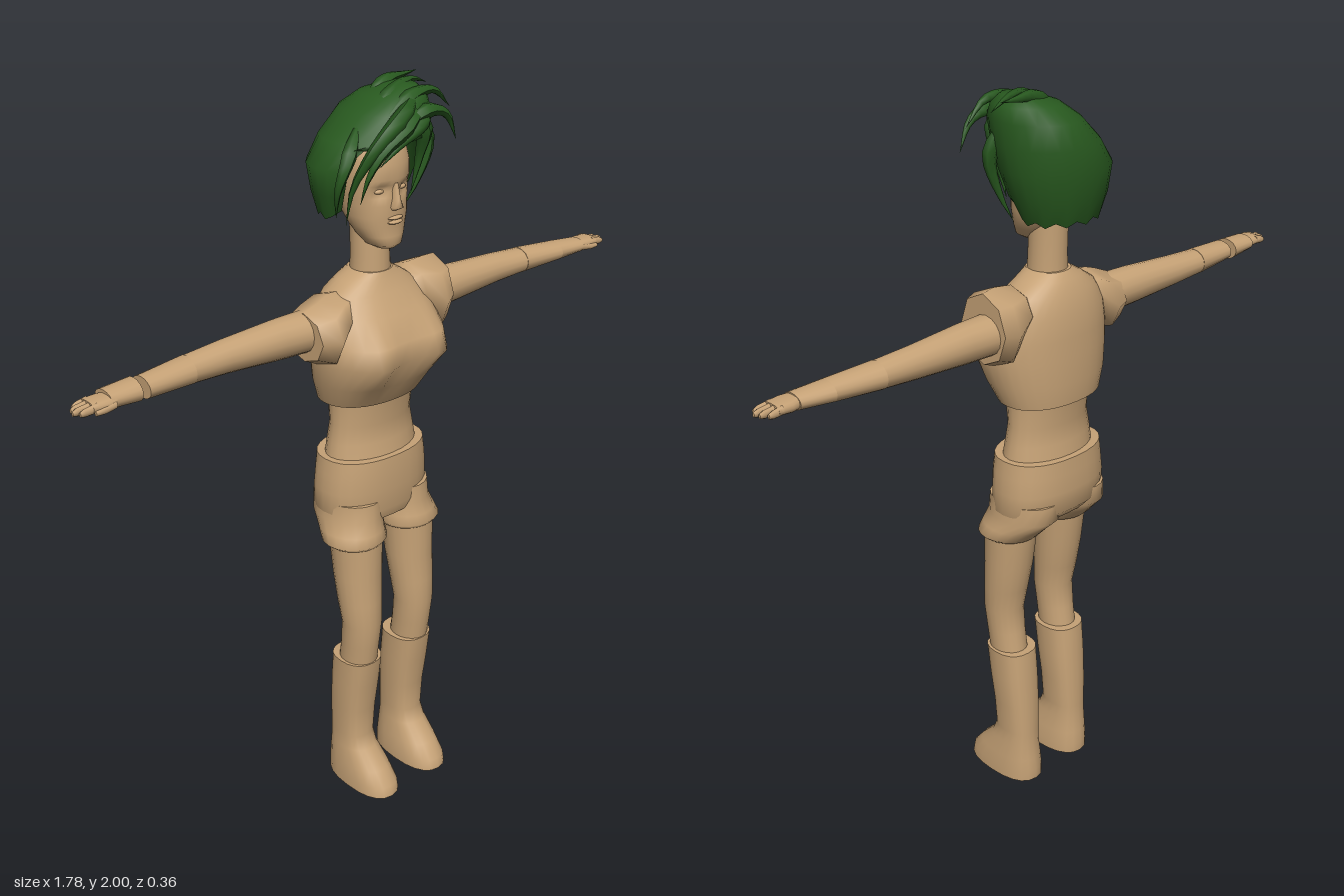
import * as THREE from 'three';

const skin = new THREE.MeshStandardMaterial({ color: 0xc6a276 });
skin.name = 'tan';
const green = new THREE.MeshStandardMaterial({ color: 0x28591f, side: THREE.DoubleSide });
green.name = 'hair green';

// Loft through rings [pos, uMin, uMax, vMin, vMax], pos ascending.
// Axis y: u = x, v = z. Axis x: u = z, v = y.
function loft(rings, { sides = 20, axis = 'y', power = 2, caps = true, shape } = {}) {
  const pos = [], idx = [];
  const put = (u, p, v) => { pos.push(...(axis === 'y' ? [u, p, v] : [p, v, u])); return pos.length / 3 - 1; };
  const round = c => Math.sign(c) * Math.abs(c) ** (2 / power);
  const ring = ([p, u0, u1, v0, v1]) => {
    const start = pos.length / 3;
    for (let j = 0; j < sides; j++) {
      const t = j / sides * Math.PI * 2;
      let q = [(u0 + u1) / 2 + (u1 - u0) / 2 * round(Math.cos(t)), p,
        (v0 + v1) / 2 + (v1 - v0) / 2 * round(Math.sin(t))];
      if (shape) q = shape(q, t, j);
      put(...q);
    }
    return start;
  };
  const starts = rings.map(ring);
  for (let i = 0; i + 1 < starts.length; i++) {
    for (let j = 0; j < sides; j++) {
      const k = (j + 1) % sides, a = starts[i], c = starts[i + 1];
      idx.push(a + j, c + j, a + k, a + k, c + j, c + k);
    }
  }
  if (caps) {
    [rings[0], rings.at(-1)].forEach((r, end) => {
      const s = ring(r), m = put((r[1] + r[2]) / 2, r[0], (r[3] + r[4]) / 2);
      for (let j = 0; j < sides; j++) {
        const k = (j + 1) % sides;
        idx.push(m, s + (end ? k : j), s + (end ? j : k));
      }
    });
  }
  const g = new THREE.BufferGeometry();
  g.setAttribute('position', new THREE.Float32BufferAttribute(pos, 3));
  g.setIndex(idx);
  g.computeVertexNormals();
  return g;
}

// Mirror ring lists to the model's right side
const mirrorY = rings => rings.map(([p, a, b, c, d]) => [p, -b, -a, c, d]);
const mirrorX = rings => rings.map(([p, ...r]) => [-p, ...r]).reverse();

// Tapered strand of hair along a curve
function strand(points, width) {
  const n = 10, sides = 6;
  const curve = new THREE.CatmullRomCurve3(points.map(p => new THREE.Vector3(...p)));
  const g = new THREE.TubeGeometry(curve, n, width, sides);
  const P = g.attributes.position, v = new THREE.Vector3();
  for (let i = 0; i <= n; i++) {
    const c = curve.getPointAt(i / n), s = Math.min(0.4 + i * 0.2, 1.25 * (1 - i / n), 1);
    for (let j = 0; j <= sides; j++) {
      const k = i * (sides + 1) + j;
      v.fromBufferAttribute(P, k).sub(c).multiplyScalar(s).add(c);
      P.setXYZ(k, v.x, v.y, v.z);
    }
  }
  g.computeVertexNormals();
  return g;
}

const bump = (x, y, cx, cy, sx, sy) => Math.exp(-(((x - cx) / sx) ** 2) - ((y - cy) / sy) ** 2);

export function createModel() {
  const model = new THREE.Group();
  model.name = 'figure';
  const add = (name, geometry, material = skin) => {
    const m = new THREE.Mesh(geometry, material);
    m.name = name;
    model.add(m);
    return m;
  };

  // Trunk
  add('chest', loft([
    [1.2, -0.15, 0.15, -0.13, 0.075], [1.26, -0.172, 0.172, -0.135, 0.11],
    [1.33, -0.187, 0.187, -0.132, 0.138], [1.38, -0.185, 0.185, -0.13, 0.13],
    [1.44, -0.17, 0.17, -0.125, 0.09], [1.49, -0.135, 0.135, -0.11, 0.058],
    [1.52, -0.09, 0.09, -0.095, 0.042], [1.54, -0.055, 0.055, -0.08, 0.034],
  ], {
    sides: 32, power: 2.2,
    shape: ([x, y, z]) => [x, y, z > 0 ? z + 0.035 * bump(Math.abs(x), y, 0.105, 1.34, 0.05, 0.06) : z],
  }));
  add('waist', loft([
    [1.03, -0.142, 0.142, -0.112, 0.07], [1.08, -0.135, 0.135, -0.104, 0.06],
    [1.13, -0.126, 0.126, -0.098, 0.054], [1.21, -0.128, 0.128, -0.11, 0.068]], { sides: 24 }));
  add('hips', loft([
    [0.86, -0.15, 0.15, -0.1, 0.075], [0.89, -0.168, 0.168, -0.128, 0.085],
    [0.95, -0.168, 0.168, -0.133, 0.088], [1.0, -0.163, 0.163, -0.13, 0.088],
    [1.042, -0.157, 0.157, -0.128, 0.085]], { sides: 28, power: 2.3 }));
  add('neck', loft([[1.5, -0.054, 0.054, -0.075, 0.034], [1.58, -0.05, 0.05, -0.072, 0.03],
    [1.68, -0.05, 0.05, -0.075, 0.025]]));

  // Legs
  const shorts = [[0.798, 0.015, 0.175, -0.055, 0.1], [0.808, 0.006, 0.187, -0.065, 0.108],
    [0.835, 0.006, 0.178, -0.09, 0.1], [0.87, 0.002, 0.168, -0.125, 0.088], [0.92, 0, 0.165, -0.125, 0.085]];
  const thigh = [[0.4, 0.048, 0.145, -0.025, 0.09], [0.48, 0.046, 0.148, -0.012, 0.1],
    [0.55, 0.042, 0.152, -0.005, 0.108], [0.62, 0.036, 0.158, -0.02, 0.105],
    [0.7, 0.028, 0.162, -0.035, 0.1], [0.82, 0.02, 0.167, -0.05, 0.098]];
  const boot = [[0, 0.028, 0.158, -0.07, 0.175], [0.03, 0.028, 0.158, -0.07, 0.168],
    [0.07, 0.034, 0.154, -0.066, 0.135], [0.12, 0.042, 0.148, -0.06, 0.085],
    [0.16, 0.044, 0.145, -0.06, 0.068], [0.25, 0.038, 0.15, -0.056, 0.072],
    [0.34, 0.034, 0.154, -0.05, 0.085], [0.425, 0.033, 0.155, -0.042, 0.096]];
  for (const [side, m] of [['left', r => r], ['right', mirrorY]]) {
    add(side + 'ShortsLeg', loft(m(shorts)));
    add(side + 'Thigh', loft(m(thigh)));
    add(side + 'Boot', loft(m(boot), { power: 2.4 }));
  }

  // Sleeve caps, set a little differently on each shoulder
  const X = { axis: 'x', sides: 16 };
  add('leftSleeve', loft([[0.1, -0.07, 0.045, 1.41, 1.5], [0.125, -0.095, 0.06, 1.39, 1.52],
    [0.18, -0.112, 0.085, 1.318, 1.526], [0.222, -0.1, 0.06, 1.335, 1.522]], { axis: 'x', sides: 8 }));
  add('rightSleeve', loft([[-0.224, -0.092, 0.058, 1.342, 1.47], [-0.18, -0.11, 0.085, 1.322, 1.488],
    [-0.14, -0.1, 0.065, 1.37, 1.502], [-0.1, -0.07, 0.04, 1.41, 1.5]], { axis: 'x', sides: 8 }));

  // Arms
  const arm = [[0.16, -0.085, 0.03, 1.362, 1.47], [0.3, -0.08, 0.018, 1.366, 1.468],
    [0.46, -0.077, 0.008, 1.376, 1.458], [0.565, -0.072, 0.009, 1.382, 1.451]];
  const foreArm = [[0.565, -0.073, 0.01, 1.381, 1.452], [0.7, -0.059, 0.018, 1.389, 1.443]];
  const wrist = [[0.7, -0.059, 0.018, 1.389, 1.443], [0.79, -0.046, 0.021, 1.396, 1.436]];
  const cuff = [[0.717, -0.063, 0.014, 1.387, 1.445], [0.8, -0.058, 0.016, 1.396, 1.44]];
  const palm = [[0.785, -0.04, 0.015, 1.4, 1.433], [0.81, -0.047, 0.02, 1.4, 1.432],
    [0.848, -0.047, 0.016, 1.404, 1.43]];
  const thumb = [[0.79, -0.005, 0.02, 1.402, 1.424], [0.82, 0.004, 0.024, 1.4, 1.42], [0.846, 0.012, 0.022, 1.402, 1.414]];
  for (const [side, m] of [['left', r => r], ['right', mirrorX]]) {
    add(side + 'UpperArm', loft(m(arm), X));
    add(side + 'Forearm', loft(m(foreArm), X));
    add(side + 'Palm', loft(m(palm), { ...X, power: 2.6 }));
    add(side + 'Thumb', loft(m(thumb), { ...X, sides: 8 }));
    [0.872, 0.885, 0.89, 0.88].forEach((tip, i) => {
      const z = -0.047 + i * 0.0155;
      add(side + 'Finger', loft(m([[0.835, z, z + 0.016, 1.406, 1.43],
        [tip - 0.012, z + 0.001, z + 0.0145, 1.404, 1.425], [tip, z + 0.004, z + 0.012, 1.407, 1.419]]), { ...X, sides: 8 }));
    });
  }
  add('leftWrist', loft(wrist, X));
  add('rightCuff', loft(mirrorX(cuff), X));

  // Head with sunken eye sockets
  add('head', loft([
    [1.607, -0.025, 0.025, 0.0, 0.062], [1.617, -0.043, 0.043, -0.02, 0.074],
    [1.64, -0.058, 0.058, -0.045, 0.073], [1.665, -0.07, 0.07, -0.065, 0.071],
    [1.69, -0.077, 0.077, -0.085, 0.074], [1.72, -0.081, 0.081, -0.1, 0.073],
    [1.74, -0.084, 0.084, -0.105, 0.073], [1.755, -0.086, 0.086, -0.11, 0.073],
    [1.77, -0.087, 0.087, -0.115, 0.075], [1.785, -0.088, 0.088, -0.118, 0.079],
    [1.82, -0.089, 0.089, -0.12, 0.077], [1.86, -0.083, 0.083, -0.115, 0.066],
    [1.9, -0.055, 0.055, -0.09, 0.04], [1.915, -0.02, 0.02, -0.05, 0.005],
  ], {
    sides: 40, power: 2.2,
    shape: ([x, y, z]) => [x, y, z > 0 ? z - 0.016 * bump(Math.abs(x), y, 0.036, 1.757, 0.018, 0.013) : z],
  }));
  add('nose', loft([[1.708, -0.014, 0.014, 0.055, 0.08], [1.716, -0.016, 0.016, 0.05, 0.096],
    [1.735, -0.011, 0.011, 0.05, 0.089], [1.775, -0.008, 0.008, 0.05, 0.079]], { sides: 10 }));
  for (const y of [1.677, 1.688]) {
    const lip = add('lip', new THREE.SphereGeometry(1, 12, 8));
    lip.scale.set(0.024, 0.0055, 0.012);
    lip.position.set(0, y, 0.071);
  }
  for (const s of [1, -1]) {
    const eye = add('eye', new THREE.SphereGeometry(1, 12, 8));
    eye.scale.set(0.015, 0.007, 0.01);
    eye.position.set(s * 0.036, 1.755, 0.051);
  }

  // Hair shell, raised above the face and ragged along the hem
  add('hairShell', loft([
    [1.675, -0.112, 0.107, -0.15, 0.03], [1.74, -0.13, 0.135, -0.17, 0.05],
    [1.81, -0.145, 0.156, -0.18, 0.075], [1.87, -0.105, 0.162, -0.176, 0.09],
    [1.93, -0.045, 0.165, -0.158, 0.086], [1.965, 0.0, 0.155, -0.115, 0.065],
    [1.985, 0.055, 0.13, -0.06, 0.03], [1.988, 0.09, 0.095, -0.02, -0.01],
  ], {
    sides: 24, caps: false,
    shape: ([x, y, z], t, j) => {
      const d = THREE.MathUtils.radToDeg(Math.abs(t > Math.PI * 1.5 ? t - Math.PI * 2.5 : t - Math.PI / 2));
      const hem = 1.675 + 0.185 * (1 - THREE.MathUtils.smoothstep(d, 42, 66)) + (j % 2) * 0.012;
      return [x, Math.max(y, hem), z];
    },
  }), green);

  // Swept fringe, side locks and loose tips
  [
    [0.026, [0.1, 1.965, 0.03], [0.02, 1.935, 0.078], [-0.07, 1.865, 0.075], [-0.105, 1.77, 0.035], [-0.11, 1.675, 0.015]],
    [0.024, [0.1, 1.95, 0.05], [0.03, 1.91, 0.085], [-0.05, 1.86, 0.085], [-0.085, 1.8, 0.07], [-0.095, 1.73, 0.05]],
    [0.022, [0.13, 1.94, 0.04], [0.07, 1.905, 0.085], [0.0, 1.87, 0.09], [-0.06, 1.82, 0.078]],
    [0.024, [0.06, 1.95, 0.05], [0.09, 1.9, 0.075], [0.1, 1.82, 0.05], [0.09, 1.72, 0.03]],
    [0.022, [-0.06, 1.9, 0.0], [-0.12, 1.83, 0.03], [-0.138, 1.77, 0.02], [-0.12, 1.69, -0.01]],
    [0.022, [0.13, 1.92, 0.0], [0.155, 1.84, 0.02], [0.13, 1.74, 0.01], [0.105, 1.675, -0.01]],
    [0.024, [-0.03, 1.91, 0.01], [0.05, 1.97, 0.0], [0.14, 1.985, -0.03], [0.215, 1.963, -0.05]],
    [0.022, [0.0, 1.93, 0.05], [0.07, 1.965, 0.045], [0.15, 1.97, 0.04], [0.22, 1.915, 0.03]],
    [0.022, [0.02, 1.95, -0.05], [0.09, 1.985, -0.06], [0.15, 1.988, -0.07], [0.205, 1.99, -0.075]],
    [0.022, [0.03, 1.91, 0.075], [0.1, 1.935, 0.08], [0.16, 1.915, 0.08], [0.2, 1.845, 0.075]],
  ].forEach(([w, ...pts]) => add('hairLock', strand(pts, w), green));

  return model;
}
